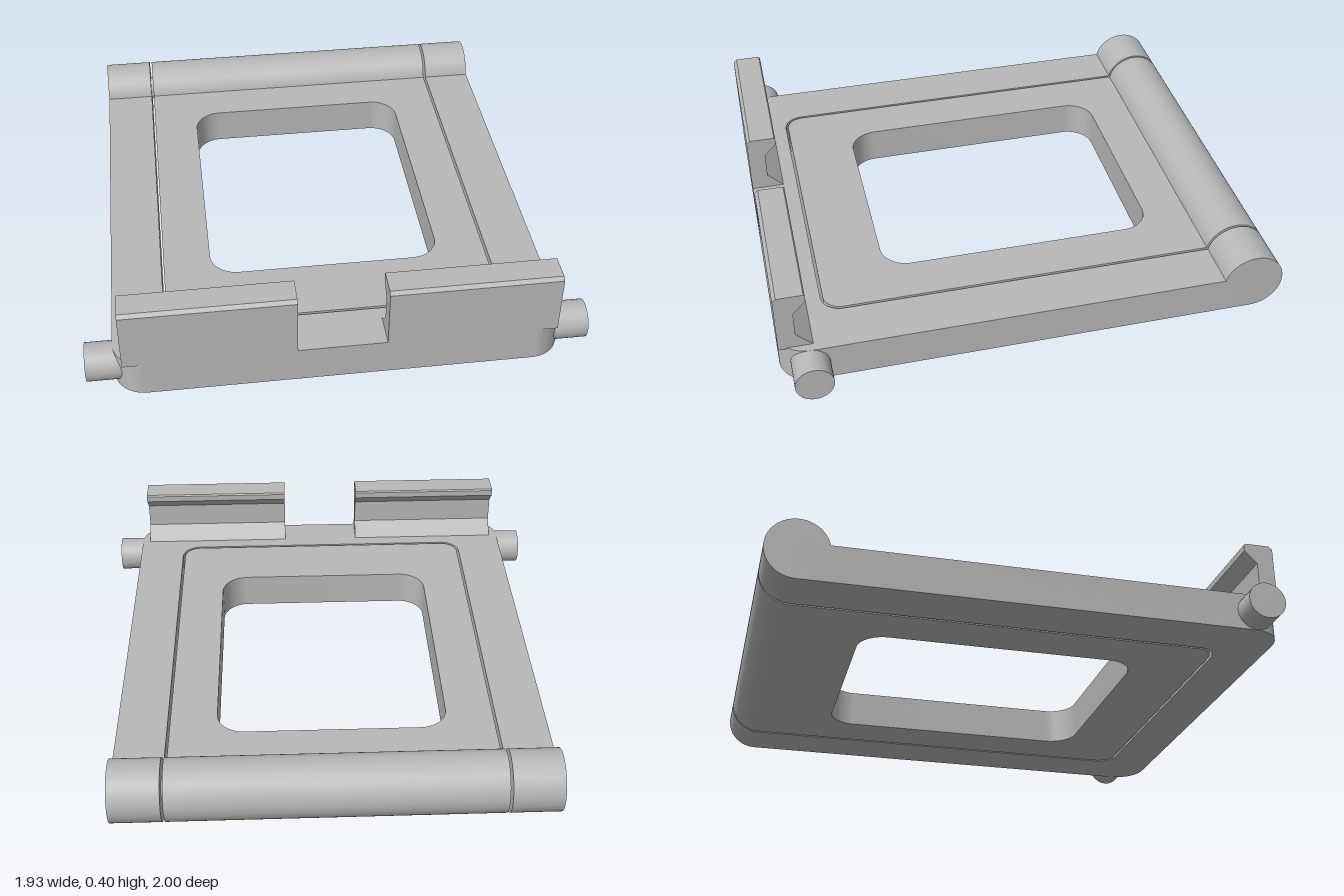
import * as THREE from 'three';
import { toCreasedNormals } from 'three/addons/utils/BufferGeometryUtils.js';

export function createModel() {
  const model = new THREE.Group();
  model.name = 'hingedBracket';
  const grey = new THREE.MeshStandardMaterial({ color: 0xb8b8b8 });
  grey.name = 'plain grey';

  const THICK = 0.15;
  const HINGE = { r: 0.122, z: -0.878 };

  function add(name, geometry) {
    const mesh = new THREE.Mesh(geometry, grey);
    mesh.name = name;
    model.add(mesh);
    return mesh;
  }

  // Flat plate from a plan outline drawn in (x, -z)
  function plate(name, shape) {
    const g = new THREE.ExtrudeGeometry(shape, { depth: THICK, bevelEnabled: false, curveSegments: 12 });
    g.rotateX(-Math.PI / 2);
    add(name, toCreasedNormals(g, 0.5));
  }

  // Round bar lying along x
  function bar(name, r, x0, x1, y, z) {
    const g = new THREE.CylinderGeometry(r, r, x1 - x0, 64);
    g.rotateZ(Math.PI / 2);
    add(name, g).position.set((x0 + x1) / 2, y, z);
  }

  // Outer U-shaped frame with rounded front corners
  const w = 0.86, c = 0.12, iw = 0.66, iz = 0.81, ir = 0.08, back = -HINGE.z;
  const frame = new THREE.Shape();
  frame.moveTo(-w, back);
  frame.lineTo(-w, -1 + c);
  frame.absarc(-w + c, -1 + c, c, Math.PI, Math.PI * 1.5, false);
  frame.lineTo(w - c, -1);
  frame.absarc(w - c, -1 + c, c, -Math.PI / 2, 0, false);
  frame.lineTo(w, back);
  frame.lineTo(iw, back);
  frame.lineTo(iw, -iz + ir);
  frame.absarc(iw - ir, -iz + ir, ir, 0, -Math.PI / 2, true);
  frame.lineTo(-iw + ir, -iz);
  frame.absarc(-iw + ir, -iz + ir, ir, -Math.PI / 2, -Math.PI, true);
  frame.lineTo(-iw, back);
  plate('outerFrame', frame);

  // Inner panel with a rounded window
  const pw = 0.65, pz = 0.8, pr = 0.07;
  const panel = new THREE.Shape();
  panel.moveTo(-pw, back);
  panel.lineTo(-pw, -pz + pr);
  panel.absarc(-pw + pr, -pz + pr, pr, Math.PI, Math.PI * 1.5, false);
  panel.lineTo(pw - pr, -pz);
  panel.absarc(pw - pr, -pz + pr, pr, -Math.PI / 2, 0, false);
  panel.lineTo(pw, back);

  const hw = 0.462, z0 = -0.535, z1 = 0.582, hr = 0.11;
  const hole = new THREE.Path();
  hole.absarc(hw - hr, z0 + hr, hr, -Math.PI / 2, 0, false);
  hole.absarc(hw - hr, z1 - hr, hr, 0, Math.PI / 2, false);
  hole.absarc(-hw + hr, z1 - hr, hr, Math.PI / 2, Math.PI, false);
  hole.absarc(-hw + hr, z0 + hr, hr, Math.PI, Math.PI * 1.5, false);
  hole.closePath();
  panel.holes.push(hole);
  plate('innerPanel', panel);

  // Hinge barrel, its end knuckles, and the pin between them
  bar('hingeBarrel', HINGE.r, -pw, pw, HINGE.r, HINGE.z);
  bar('hingePin', 0.05, -0.7, 0.7, HINGE.r, HINGE.z);
  bar('leftKnuckle', HINGE.r, iw, w, HINGE.r, HINGE.z);
  bar('rightKnuckle', HINGE.r, -w, -iw, HINGE.r, HINGE.z);

  // Side pegs at the front
  bar('leftPeg', 0.074, 0.7, 0.965, 0.076, 0.886);
  bar('rightPeg', 0.074, -0.965, -0.7, 0.076, 0.886);

  // Front hooks, profile in (z, y)
  const profile = [
    [1, 0.145], [1, 0.385], [0.986, 0.398], [0.885, 0.398], [0.88, 0.392],
    [0.88, 0.366], [0.93, 0.315], [0.93, 0.21], [0.868, 0.15], [0.868, 0.145],
  ].map(([z, y]) => new THREE.Vector2(z, y));
  for (const [name, x] of [['leftHook', 0.825], ['rightHook', -0.17]]) {
    const g = new THREE.ExtrudeGeometry(new THREE.Shape(profile), { depth: 0.655, bevelEnabled: false });
    g.rotateY(-Math.PI / 2);
    add(name, g).position.x = x;
  }

  return model;
}
